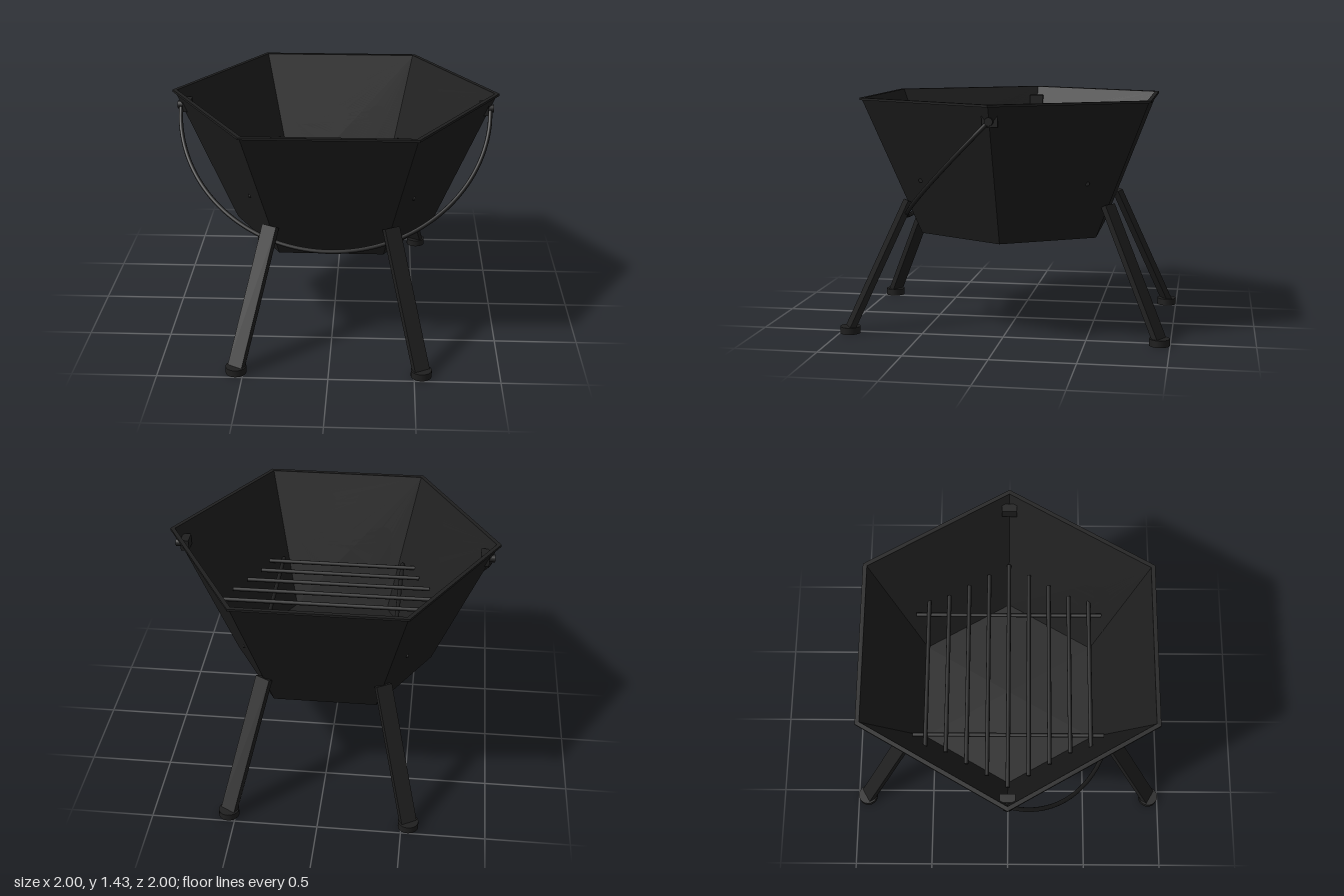
import * as THREE from 'three';

const iron = new THREE.MeshStandardMaterial({ color: 0x1f1f1f, side: THREE.DoubleSide });
iron.name = 'black iron';

const C30 = Math.cos(Math.PI / 6);
const Y0 = 0.59, Y1 = 1.425, R0 = 0.62, R1 = 0.987; // bowl heights and corner radii

function add(parent, name, geometry, x = 0, y = 0, z = 0) {
  const mesh = new THREE.Mesh(geometry, iron);
  mesh.name = name;
  mesh.position.set(x, y, z);
  parent.add(mesh);
  return mesh;
}

function hexagon(r, PathType) {
  const pts = [];
  for (let i = 0; i < 6; i++) {
    const a = i * Math.PI / 3;
    pts.push(new THREE.Vector2(r * Math.cos(a), r * Math.sin(a)));
  }
  return new PathType(pts);
}

// Sloping side panel with seven punched holes, hinged at its lower edge
function panelGeometry() {
  const tilt = Math.atan(((R1 - R0) * C30) / (Y1 - Y0));
  const h = (Y1 - Y0) / Math.cos(tilt);
  const shape = new THREE.Shape([
    new THREE.Vector2(-R0 / 2, 0), new THREE.Vector2(R0 / 2, 0),
    new THREE.Vector2(R1 / 2, h), new THREE.Vector2(-R1 / 2, h),
  ]);
  const rows = [[0.82, [-0.128, 0.128]], [1.045, [-0.257, 0, 0.257]], [1.253, [-0.128, 0.128]]];
  for (const [y, xs] of rows) for (const x of xs) {
    const hole = new THREE.Path();
    hole.absellipse(x, (y - Y0) / Math.cos(tilt), 0.06, 0.066, 0, Math.PI * 2, true);
    shape.holes.push(hole);
  }
  const t = 0.012;
  return new THREE.ExtrudeGeometry(shape, { depth: t, bevelEnabled: false, curveSegments: 24 })
    .translate(0, 0, -t).rotateX(tilt).translate(0, Y0, R0 * C30);
}

export function createModel() {
  const model = new THREE.Group();
  model.name = 'firePit';

  // Bowl walls
  const panel = panelGeometry();
  for (let i = 0; i < 6; i++) add(model, 'bowlPanel', panel).rotation.y = i * Math.PI / 3;

  // Rim lip
  const rim = hexagon(1, THREE.Shape);
  rim.holes.push(hexagon(0.972, THREE.Path));
  add(model, 'rim', new THREE.ExtrudeGeometry(rim, { depth: 0.014, bevelEnabled: false })
    .rotateX(-Math.PI / 2), 0, 1.416, 0);

  // Floor, with a slightly lower centre
  const floor = new THREE.CylinderGeometry(R0, 0.25, 0.006, 6).rotateY(Math.PI / 6).toNonIndexed();
  floor.computeVertexNormals();
  add(model, 'floor', floor, 0, 0.589, 0);

  // Grate: nine bars lying on two cross rods
  for (let i = -4; i <= 4; i++) {
    const z = i * 0.125;
    const half = Math.max(0.49, 0.73 - Math.abs(z) * 0.577);
    add(model, 'grateBar', new THREE.CylinderGeometry(0.013, 0.013, half * 2, 12)
      .rotateZ(Math.PI / 2), 0, 0.94, z);
  }
  for (const x of [-0.395, 0.395]) {
    add(model, 'grateCrossRod', new THREE.CylinderGeometry(0.013, 0.013, 1.16, 12)
      .rotateX(Math.PI / 2), x, 0.917, 0);
  }

  // Splayed flat legs on round feet
  const top = [0.705, 0.795], foot = [1.083, 0.03];
  const dx = foot[0] - top[0], dy = top[1] - foot[1];
  for (const angle of [60, 120, 240, 300]) {
    const leg = new THREE.Group();
    leg.name = 'legAssembly';
    leg.rotation.y = angle * Math.PI / 180;
    add(leg, 'leg', new THREE.BoxGeometry(0.035, Math.hypot(dx, dy), 0.098),
      (top[0] + foot[0]) / 2, (top[1] + foot[1]) / 2, 0).rotation.z = Math.atan2(dx, dy);
    add(leg, 'foot', new THREE.CylinderGeometry(0.061, 0.061, 0.042, 24), foot[0], 0.021, 0);
    model.add(leg);
  }

  // Swinging handle, hanging forward at 45 degrees
  const pts = [];
  for (let i = 0; i <= 24; i++) {
    const a = i * Math.PI / 24;
    const d = 0.95 * Math.sin(a) * Math.SQRT1_2;
    pts.push(new THREE.Vector3(0.95 * Math.cos(a), 1.335 - d, d));
  }
  add(model, 'handle', new THREE.TubeGeometry(new THREE.CatmullRomCurve3(pts), 72, 0.013, 10));

  // Handle pivots through the side corners
  for (const s of [-1, 1]) {
    add(model, 'pivotBracket', new THREE.BoxGeometry(0.05, 0.07, 0.09), s * 0.91, 1.337, 0);
    add(model, 'pivotPin', new THREE.CylinderGeometry(0.024, 0.024, 0.07, 16)
      .rotateZ(Math.PI / 2), s * 0.935, 1.335, 0);
  }
  return model;
}
